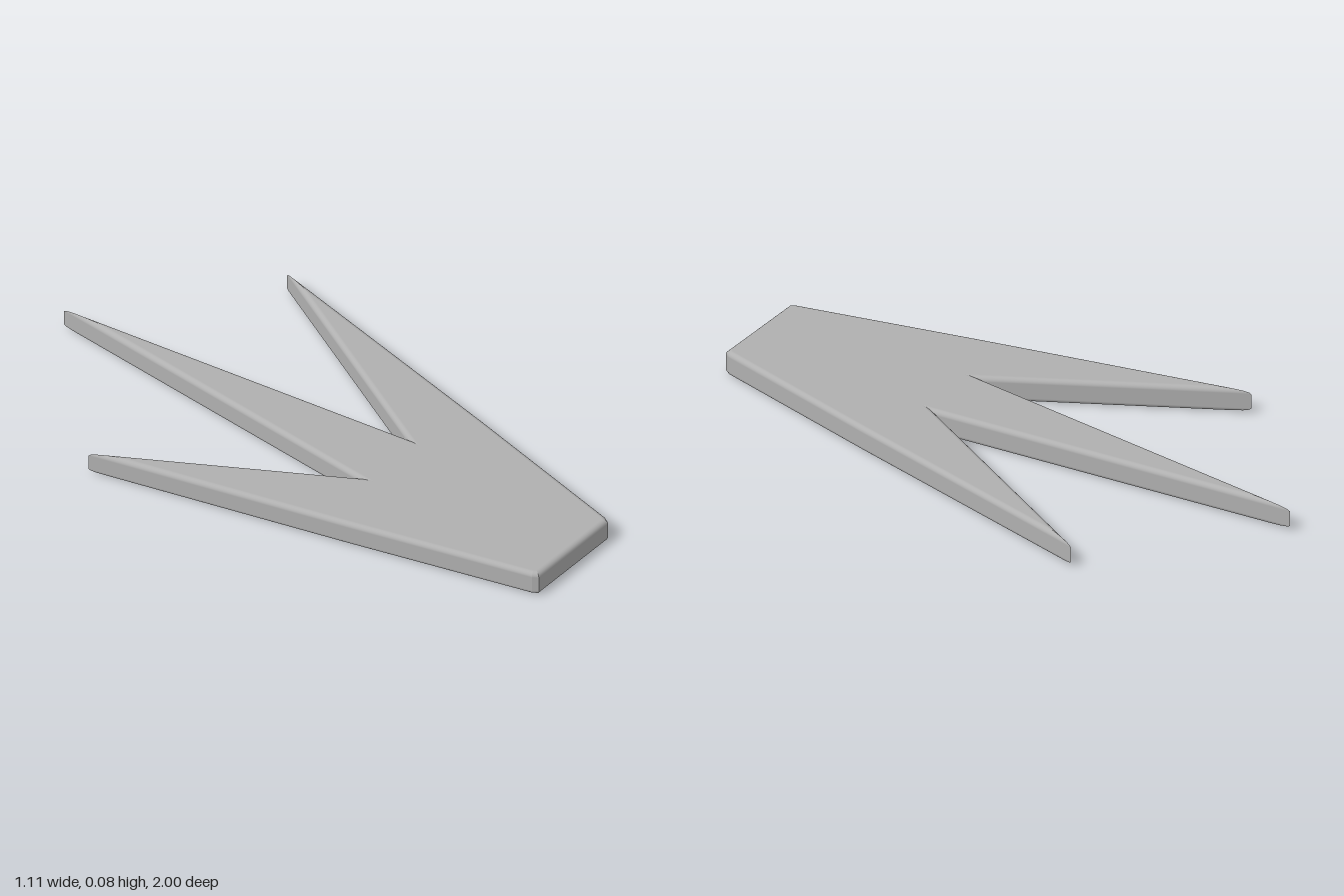
import * as THREE from 'three';

const HEIGHT = 0.083, BEVEL = 0.018, RISE = 0.016, STEPS = 5;

// Plan outline as [x, z]: square heel, outer edges, three pointed prongs
const OUTLINE = [
  [-0.19, 1], [0.16, 1], [0.172, 0.982], [0.325, 0.38], [0.553, -0.565],
  [0.11, 0.25], [-0.016, -1], [-0.142, 0.25],
  [-0.553, -0.487], [-0.35, 0.38], [-0.202, 0.982],
].map(([x, z]) => new THREE.Vector2(x, z));

// Outward normal of each outline edge
const NORMALS = OUTLINE.map((p, i) => {
  const d = OUTLINE[(i + 1) % OUTLINE.length].clone().sub(p).normalize();
  return new THREE.Vector2(-d.y, d.x);
});

// Outline moved inwards with full mitres, so the tips taper
function inset(distance) {
  return OUTLINE.map((p, i) => {
    const a = NORMALS[(i + NORMALS.length - 1) % NORMALS.length], b = NORMALS[i];
    const mitre = a.clone().add(b).divideScalar(1 + a.dot(b));
    return p.clone().addScaledVector(mitre, -distance);
  });
}

// Rounded profile from bottom to top: inset, height and normal direction
function profile() {
  const rows = [];
  for (const side of [-1, 1]) {
    for (let s = 0; s <= STEPS; s++) {
      const t = (side < 0 ? STEPS - s : s) / STEPS * Math.PI / 2;
      const y = side < 0 ? RISE * (1 - Math.sin(t)) : HEIGHT - RISE * (1 - Math.sin(t));
      rows.push({ d: BEVEL * (1 - Math.cos(t)), y, out: Math.cos(t), up: side * Math.sin(t) });
    }
  }
  return rows;
}

function makeGeometry(positions, normals, indices) {
  const g = new THREE.BufferGeometry();
  g.setAttribute('position', new THREE.Float32BufferAttribute(positions, 3));
  g.setAttribute('normal', new THREE.Float32BufferAttribute(normals, 3));
  g.setIndex(indices);
  return g;
}

// One smooth strip per edge, with sharp vertical corners between them
function rimGeometry() {
  const pos = [], nor = [], idx = [];
  const rows = profile().map(r => ({ ...r, ring: inset(r.d) }));
  OUTLINE.forEach((_, i) => {
    const n = NORMALS[i], j = (i + 1) % OUTLINE.length;
    rows.forEach((r, k) => {
      const base = pos.length / 3;
      for (const p of [r.ring[i], r.ring[j]]) {
        pos.push(p.x, r.y, p.y);
        nor.push(n.x * r.out, r.up, n.y * r.out);
      }
      if (k) idx.push(base - 2, base - 1, base + 1, base - 2, base + 1, base);
    });
  });
  return makeGeometry(pos, nor, idx);
}

// Flat face closing the top (up = 1) or bottom (up = -1)
function capGeometry(up) {
  const ring = inset(BEVEL), y = up > 0 ? HEIGHT : 0;
  const pos = ring.flatMap(p => [p.x, y, p.y]);
  const nor = ring.flatMap(() => [0, up, 0]);
  const idx = THREE.ShapeUtils.triangulateShape(ring, []).flatMap(([a, b, c]) => {
    const turn = ring[b].clone().sub(ring[a]).cross(ring[c].clone().sub(ring[a]));
    return turn * up < 0 ? [a, b, c] : [a, c, b];
  });
  return makeGeometry(pos, nor, idx);
}

export function createModel() {
  const group = new THREE.Group();
  group.name = 'threeProngedPlate';
  const grey = new THREE.MeshStandardMaterial({ color: 0xb0b0b0 });
  grey.name = 'plainGrey';
  const parts = { roundedRim: rimGeometry(), topFace: capGeometry(1), bottomFace: capGeometry(-1) };
  for (const [name, geometry] of Object.entries(parts)) {
    const mesh = new THREE.Mesh(geometry, grey);
    mesh.name = name;
    group.add(mesh);
  }
  return group;
}
